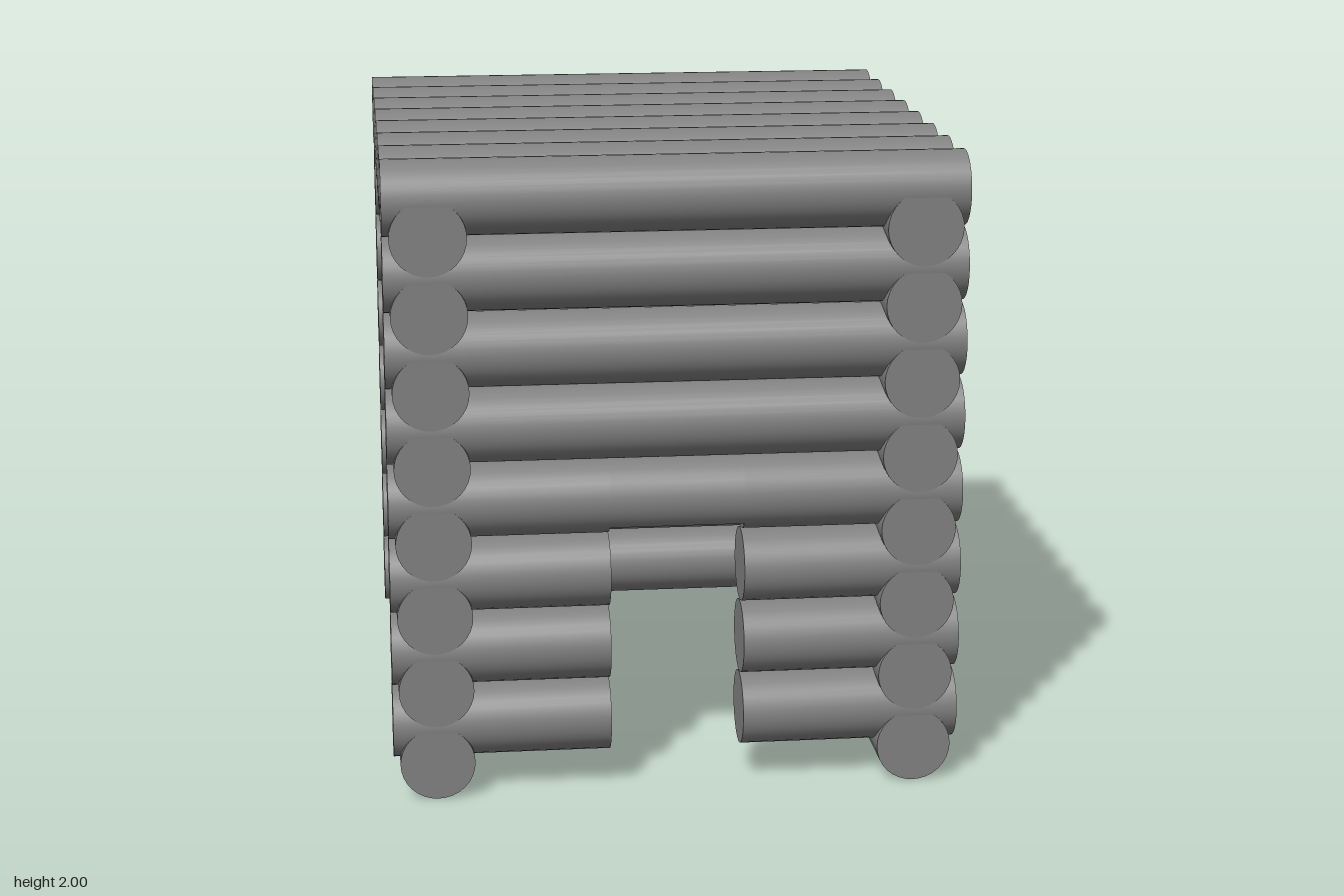
import * as THREE from 'three';
import { toCreasedNormals } from 'three/addons/utils/BufferGeometryUtils.js';

const R = 0.1165;       // log radius
const STEP = 0.2375;    // spacing between stacked logs
const END_X = 0.886;    // half length of the cross logs
const DOOR = 0.207;     // half width of the doorway
const FRONT_Z = 0.832, BACK_Z = -0.70, SIDE_X = 0.75;

// Log lying along x. A notch flattens the underside within the doorway.
function logGeometry(length, notch = 0) {
  const h = length / 2;
  const profile = [[0, -h], [R, -h]];
  if (notch) {
    for (const t of [-DOOR - 0.002, -DOOR, DOOR, DOOR + 0.002]) profile.push([R, t]);
  }
  profile.push([R, h], [0, h]);
  const geometry = new THREE.LatheGeometry(profile.map(([r, y]) => new THREE.Vector2(r, y)), 32);
  geometry.rotateZ(-Math.PI / 2);
  if (notch) {
    const p = geometry.attributes.position;
    for (let i = 0; i < p.count; i++) {
      if (Math.abs(p.getX(i)) < DOOR + 0.001) p.setY(i, Math.max(p.getY(i), notch - R));
    }
  }
  return toCreasedNormals(geometry, Math.PI / 6);
}

export function createModel() {
  const cabin = new THREE.Group();
  cabin.name = 'logCabin';
  const wood = new THREE.MeshStandardMaterial({ color: 0x828282 });

  const addGroup = (name) => {
    const group = new THREE.Group();
    group.name = name;
    cabin.add(group);
    return group;
  };
  const addLog = (group, name, geometry, x, y, z) => {
    const log = new THREE.Mesh(geometry, wood);
    log.name = name;
    log.position.set(x, y, z);
    group.add(log);
  };

  const crossLog = logGeometry(END_X * 2);
  const lintelLog = logGeometry(END_X * 2, 0.03);
  const doorLog = logGeometry(END_X - DOOR);
  const sideLog = logGeometry(1.765).rotateY(Math.PI / 2);

  // Front and back walls, with a doorway three logs high in the front
  const front = addGroup('frontWall');
  const back = addGroup('backWall');
  for (let i = 0; i < 7; i++) {
    const y = 0.226 + i * STEP;
    addLog(back, 'backLog', crossLog, 0, y, BACK_Z);
    if (i < 3) {
      for (const s of [-1, 1]) addLog(front, 'doorSideLog', doorLog, s * (END_X + DOOR) / 2, y, FRONT_Z);
    } else {
      addLog(front, i === 3 ? 'doorLintel' : 'frontLog', i === 3 ? lintelLog : crossLog, 0, y, FRONT_Z);
    }
  }

  // Side walls, offset half a log so the corners interlock
  for (const s of [-1, 1]) {
    const wall = addGroup(s > 0 ? 'leftWall' : 'rightWall');
    for (let i = 0; i < 8; i++) addLog(wall, 'sideLog', sideLog, s * SIDE_X, R + i * STEP, 0.065);
  }

  // Flat roof, overhanging at the back
  const roof = addGroup('roof');
  for (let i = 0; i < 8; i++) addLog(roof, 'roofLog', crossLog, 0, 2 - R, FRONT_Z - i * STEP);

  return cabin;
}
